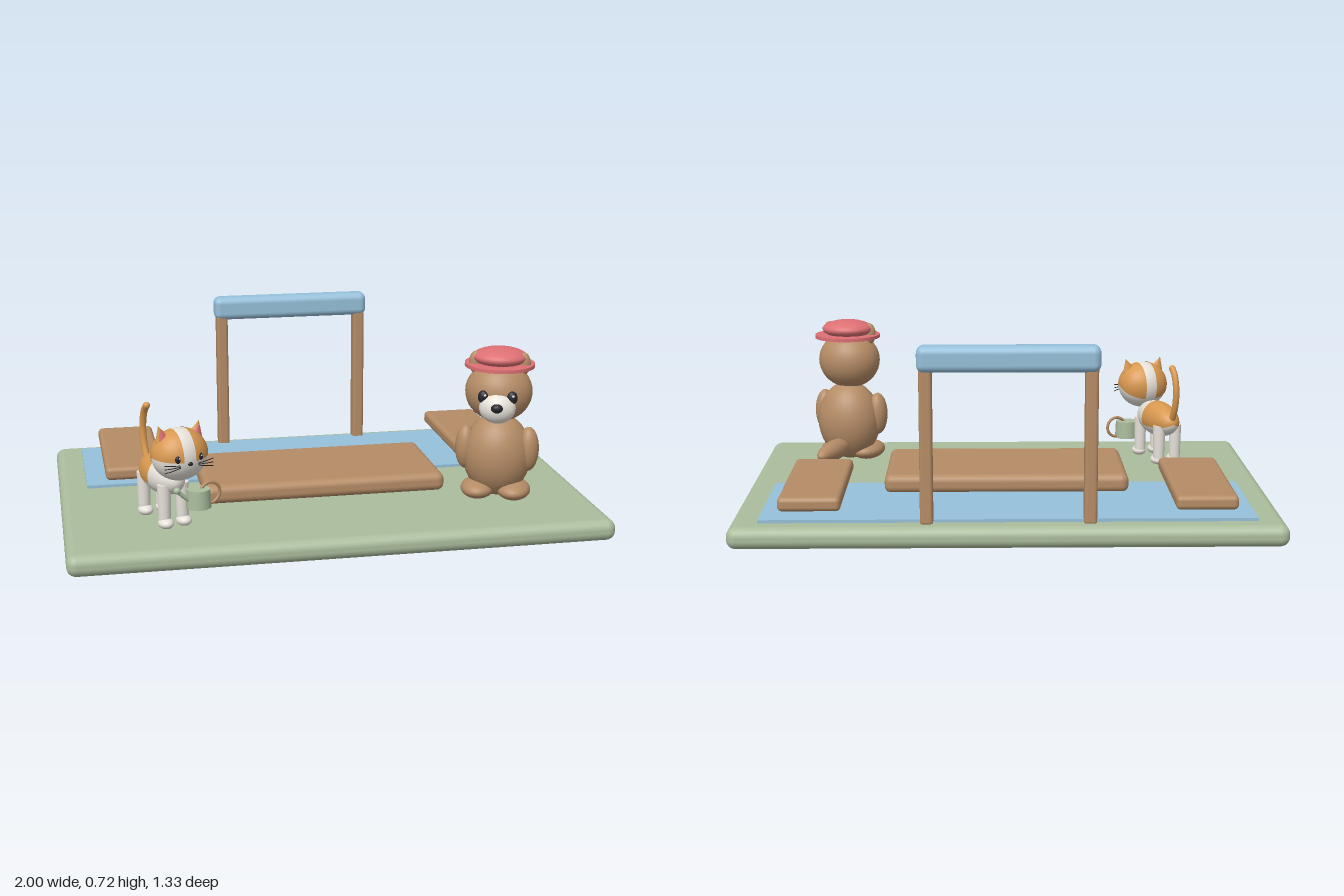
import * as THREE from 'three';
import { RoundedBoxGeometry } from 'three/addons/geometries/RoundedBoxGeometry.js';

const material = (name, color, side = THREE.FrontSide) => {
  const m = new THREE.MeshStandardMaterial({ color, side });
  m.name = name;
  return m;
};

export function createModel() {
  const green = material('sage green', 0xabbd9d);
  const wood = material('warm brown', 0xb58c66);
  const blue = material('sky blue', 0x96c0da);
  const red = material('coral red', 0xdd7074);
  const orange = material('orange fur', 0xd8984f, THREE.DoubleSide);
  const white = material('cream white', 0xe9e4dc);
  const dark = material('near black', 0x25242c);

  const model = new THREE.Group();
  model.name = 'pondDeck';

  const add = (parent, name, geometry, mat, pos = [0, 0, 0], rot = [0, 0, 0]) => {
    const mesh = new THREE.Mesh(geometry, mat);
    mesh.name = name;
    mesh.position.set(...pos);
    mesh.rotation.set(...rot);
    parent.add(mesh);
    return mesh;
  };
  const box = (name, mat, pos, size, r) =>
    add(model, name, new RoundedBoxGeometry(...size, 4, r), mat, pos);
  const ball = (parent, name, mat, pos, radii, rot) =>
    add(parent, name, new THREE.SphereGeometry(1, 32, 20), mat, pos, rot).scale.set(...radii);
  const tube = (parent, name, mat, points, r) => add(parent, name, new THREE.TubeGeometry(
    new THREE.CatmullRomCurve3(points.map(p => new THREE.Vector3(...p))), 24, r, 10), mat);

  // Base, water and deck
  box('base', green, [0, 0.04, 0], [2, 0.08, 1.33], 0.035);
  add(model, 'water', new THREE.BoxGeometry(1.79, 0.015, 0.505), blue, [0, 0.084, -0.335]);
  box('centralDeck', wood, [0, 0.121, -0.003], [0.93, 0.072, 0.455], 0.028);
  for (const s of [-1, 1]) {
    box('sidePlank', wood, [s * 0.71, 0.15, -0.313], [0.225, 0.052, 0.58], 0.018);
    box('post', wood, [s * 0.292, 0.36, -0.583], [0.047, 0.57, 0.057], 0.012);
  }
  box('crossbar', blue, [0, 0.674, -0.588], [0.645, 0.094, 0.082], 0.027);

  // Sitting animal with a hat
  const bear = new THREE.Group();
  bear.name = 'sittingAnimal';
  bear.position.set(0.64, 0.08, 0.315);
  bear.rotation.y = -0.35;
  model.add(bear);
  ball(bear, 'body', wood, [0, 0.175, 0], [0.13, 0.16, 0.115]);
  ball(bear, 'head', wood, [0, 0.425, 0.012], [0.126, 0.115, 0.112]);
  ball(bear, 'tail', wood, [0, 0.08, -0.15], [0.042, 0.04, 0.132]);
  ball(bear, 'muzzle', white, [0, 0.383, 0.105], [0.068, 0.058, 0.05]);
  ball(bear, 'nose', dark, [0, 0.393, 0.153], [0.022, 0.017, 0.015]);
  for (const s of [-1, 1]) {
    ball(bear, 'arm', wood, [s * 0.118, 0.205, 0.02], [0.04, 0.086, 0.043]);
    ball(bear, 'foot', wood, [s * 0.068, 0.048, 0.032], [0.064, 0.037, 0.088]);
    ball(bear, 'ear', wood, [s * 0.088, 0.535, 0.018], [0.027, 0.043, 0.022]);
    ball(bear, 'eye', dark, [s * 0.052, 0.425, 0.11], [0.021, 0.025, 0.016]);
    ball(bear, 'eyeGlint', white, [s * 0.052 + 0.006, 0.434, 0.124], [0.005, 0.005, 0.004]);
  }
  add(bear, 'hatBrim', new THREE.CylinderGeometry(0.131, 0.131, 0.013, 40), red, [0, 0.526, 0]);
  ball(bear, 'hatCrown', red, [0, 0.555, 0], [0.103, 0.036, 0.095]);

  // Standing cat
  const cat = new THREE.Group();
  cat.name = 'cat';
  cat.position.set(-0.635, 0.08, 0.32);
  cat.rotation.y = 0.35;
  model.add(cat);
  ball(cat, 'body', white, [0, 0.175, 0], [0.065, 0.07, 0.14]);
  // Orange back: rear upper part of the body, sphere axis along z
  const back = new THREE.SphereGeometry(1.02, 28, 14, Math.PI - 0.35, Math.PI + 0.7, 1.45, Math.PI - 1.45);
  back.rotateX(Math.PI / 2);
  add(cat, 'backPatch', back, orange, [0, 0.175, 0]).scale.set(0.065, 0.07, 0.14);

  const headPos = [0, 0.29, 0.15], headSize = [0.103, 0.095, 0.09];
  ball(cat, 'head', white, headPos, headSize);
  // Orange cheeks on both sides of the white blaze, sphere axis along x
  for (const start of [0, Math.PI - 1.35]) {
    const patch = new THREE.SphereGeometry(1.02, 28, 14, -2.1, 3.75, start, 1.35);
    patch.rotateZ(-Math.PI / 2);
    add(cat, 'headPatch', patch, orange, headPos).scale.set(...headSize);
  }
  ball(cat, 'nose', dark, [0, 0.276, 0.24], [0.009, 0.007, 0.006]);
  for (const s of [-1, 1]) {
    const ear = new THREE.Group();
    ear.name = 'ear';
    ear.position.set(s * 0.07, 0.372, 0.15);
    ear.rotation.z = -s * 0.3;
    cat.add(ear);
    add(ear, 'outerEar', new THREE.ConeGeometry(0.034, 0.066, 20), orange).scale.z = 0.6;
    add(ear, 'innerEar', new THREE.ConeGeometry(0.024, 0.052, 20), red, [0, -0.003, 0.01]).scale.z = 0.6;
    ball(cat, 'eye', dark, [s * 0.043, 0.295, 0.229], [0.011, 0.014, 0.009]);
    ball(cat, 'eyeGlint', white, [s * 0.043 + 0.003, 0.3, 0.237], [0.003, 0.003, 0.002]);
    for (const k of [-1, 0, 1])
      tube(cat, 'whisker', dark, [[s * 0.035, 0.268 + k * 0.004, 0.232],
        [s * 0.065, 0.268 + k * 0.009, 0.235], [s * 0.095, 0.266 + k * 0.014, 0.228]], 0.0016);
    for (const z of [0.09, -0.085]) {
      add(cat, 'leg', new THREE.CylinderGeometry(0.025, 0.022, 0.15, 18), white, [s * 0.036, 0.09, z]);
      ball(cat, 'paw', white, [s * 0.036, 0.02, z + 0.01], [0.028, 0.02, 0.034]);
    }
  }
  tube(cat, 'tail', orange, [[0, 0.18, -0.12], [0, 0.25, -0.15], [0, 0.32, -0.157],
    [0, 0.38, -0.14], [0, 0.405, -0.118]], 0.013);
  ball(cat, 'tailTip', orange, [0, 0.405, -0.118], [0.013, 0.013, 0.013]);

  // Watering can held by the cat
  const can = new THREE.Group();
  can.name = 'wateringCan';
  can.position.set(0.08, 0.107, 0.135);
  cat.add(can);
  add(can, 'canBody', new THREE.CylinderGeometry(0.043, 0.046, 0.07, 28), green);
  add(can, 'handle', new THREE.TorusGeometry(0.04, 0.006, 10, 32), wood, [0.046, 0.012, 0]);
  tube(can, 'spout', green, [[-0.035, -0.005, 0], [-0.06, 0.015, 0], [-0.085, 0.04, 0]], 0.008);
  ball(can, 'spoutRose', green, [-0.085, 0.04, 0], [0.013, 0.013, 0.013]);

  return model;
}
